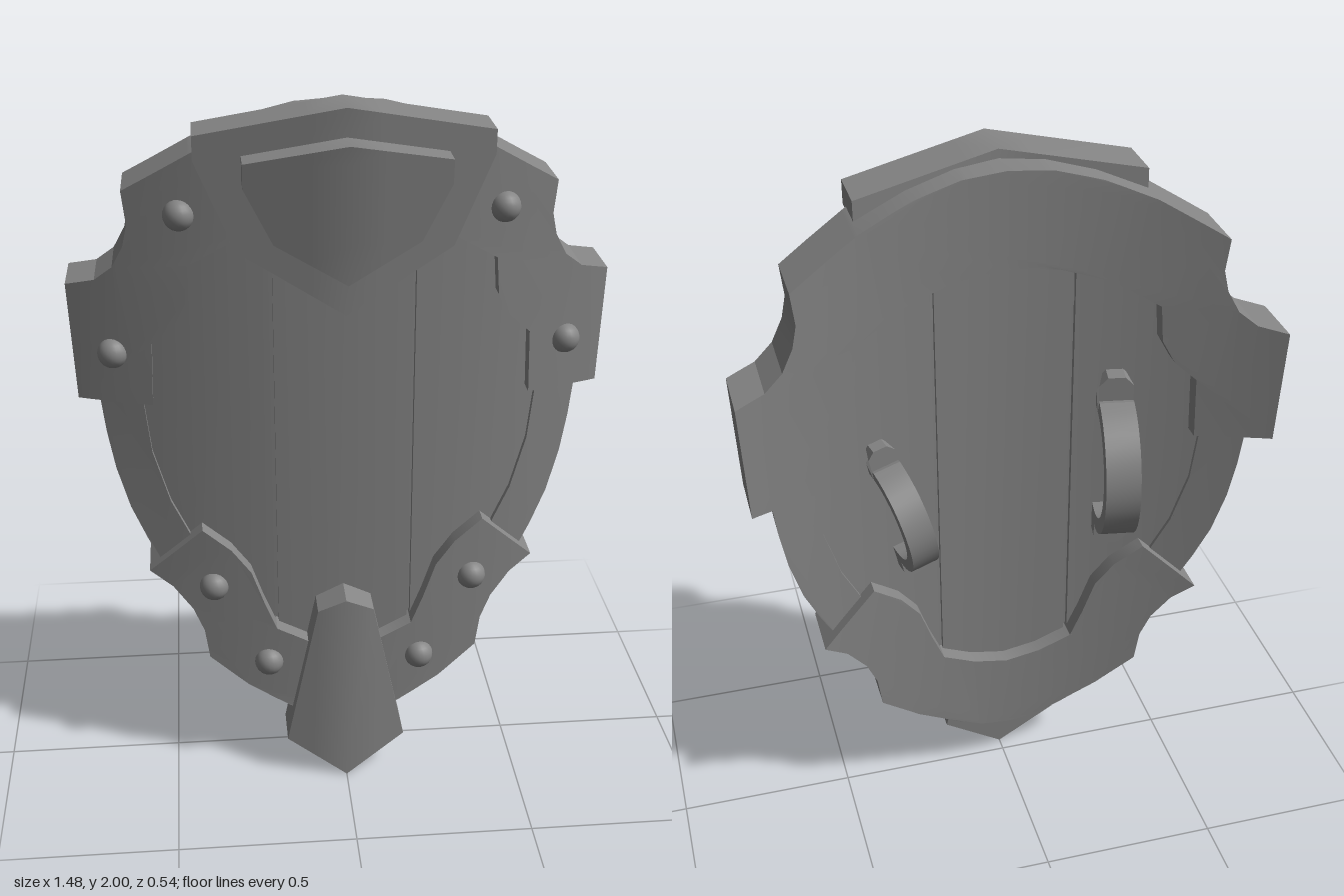
import * as THREE from 'three';
import { toCreasedNormals } from 'three/addons/utils/BufferGeometryUtils.js';

const material = new THREE.MeshStandardMaterial({ color: 0x858585 });
const STEP = 0.1; // width of the strips used for bending
const drop = (x) => 0.283 * x * x; // the shield curves back towards its sides

// Full symmetric outline from the points of its +x half
const mirrored = (half) => [
  ...half,
  ...half.filter(([x]) => x > 0).reverse().map(([x, y]) => [-x, y]),
];
const flipped = (points) => points.map(([x, y]) => [-x, y]).reverse();

// Keep the part of a polygon on one side of the plane x = at
function clip(poly, at, sign) {
  const out = [];
  poly.forEach((a, i) => {
    const b = poly[(i + 1) % poly.length];
    const da = (a.x - at) * sign, db = (b.x - at) * sign;
    if (da >= 0) out.push(a);
    if (da * db < 0) out.push(a.clone().lerp(b, da / (da - db)));
  });
  return out;
}

// Cut all triangles into vertical strips so that the plate can bend smoothly
function sliceInStrips(geometry) {
  const p = geometry.toNonIndexed().attributes.position;
  const positions = [];
  for (let i = 0; i < p.count; i += 3) {
    const tri = [0, 1, 2].map((k) => new THREE.Vector3().fromBufferAttribute(p, i + k));
    const xs = tri.map((v) => v.x);
    const first = Math.floor(Math.min(...xs) / STEP + 1e-6);
    const last = Math.max(first + 1, Math.ceil(Math.max(...xs) / STEP - 1e-6));
    for (let s = first; s < last; s++) {
      let poly = tri;
      if (s > first) poly = clip(poly, s * STEP, 1);
      if (s < last - 1) poly = clip(poly, (s + 1) * STEP, -1);
      for (let k = 1; k < poly.length - 1; k++)
        for (const v of [poly[0], poly[k], poly[k + 1]]) positions.push(v.x, v.y, v.z);
    }
  }
  const out = new THREE.BufferGeometry();
  out.setAttribute('position', new THREE.Float32BufferAttribute(positions, 3));
  return out;
}

// Extruded outline between two depths, bent by a rule z(x, y, z)
function plate(name, outline, back, front, bend = (x, y, z) => z - drop(x)) {
  const shape = new THREE.Shape(outline.map(([x, y]) => new THREE.Vector2(x, y)));
  const flat = new THREE.ExtrudeGeometry(shape, { depth: front - back, bevelEnabled: false });
  flat.translate(0, 0, back);
  const geometry = sliceInStrips(flat);
  const p = geometry.attributes.position;
  for (let i = 0; i < p.count; i++) p.setZ(i, bend(p.getX(i), p.getY(i), p.getZ(i)));
  const mesh = new THREE.Mesh(toCreasedNormals(geometry, 0.4), material);
  mesh.name = name;
  return mesh;
}

// Half-ring grip with two feet that narrow at their ends
function handle(name, x, y, size, tilt) {
  const pts = [[-0.03, 0.25], [-0.03, 0.275], [0.05, 0.275], [0.05, 0.25], [0.05, 0.204]];
  const arc = (r, from, to) => {
    for (let i = 0; i <= 16; i++) {
      const a = from + ((to - from) * i) / 16;
      pts.push([0.03 + r * Math.cos(a), r * Math.sin(a)]);
    }
  };
  arc(0.21, 1.4, -1.4);
  pts.push([0.05, -0.204], [0.05, -0.25], [0.05, -0.275], [-0.03, -0.275], [-0.03, -0.25], [-0.03, -0.165]);
  arc(0.165, -1.5, 1.5);
  pts.push([-0.03, 0.165]);
  const shape = new THREE.Shape(pts.map(([u, v]) => new THREE.Vector2(u, v)));
  const g = new THREE.ExtrudeGeometry(shape, { depth: 0.096, bevelEnabled: false });
  g.translate(0, 0, -0.048).rotateY(Math.PI / 2);
  const p = g.attributes.position;
  for (let i = 0; i < p.count; i++) if (Math.abs(p.getY(i)) > 0.26) p.setX(i, p.getX(i) * 0.5);
  const mesh = new THREE.Mesh(toCreasedNormals(g.scale(size, size, size), 0.4), material);
  mesh.name = name;
  mesh.position.set(x, y, -drop(x));
  mesh.rotation.set(0, 0.57 * x, tilt);
  return mesh;
}

export function createModel() {
  const group = new THREE.Group();
  group.name = 'shield';

  // Wooden planks with narrow grooves, closed by a thin core sheet
  const sidePlank = [
    [0.198, 1.8], [0.4, 1.7], [0.58, 1.4], [0.58, 1.16], [0.56, 1.0],
    [0.51, 0.85], [0.45, 0.73], [0.3, 0.5], [0.198, 0.38],
  ];
  group.add(plate('middlePlank', mirrored([[0.188, 1.8], [0.188, 0.35]]), 0, 0.075));
  group.add(plate('leftPlank', sidePlank, 0, 0.075));
  group.add(plate('rightPlank', flipped(sidePlank), 0, 0.075));
  group.add(plate('plankCore', mirrored([[0.21, 1.78], [0.21, 0.4]]), 0.015, 0.055));

  // Thin rim along both sides
  const rim = [
    [0.67, 1.22], [0.668, 1.16], [0.655, 1.05], [0.635, 0.94], [0.6, 0.82], [0.555, 0.72],
    [0.48, 0.58], [0.35, 0.6], [0.43, 0.74], [0.485, 0.85], [0.53, 1.0], [0.548, 1.16], [0.548, 1.22],
  ];
  group.add(plate('leftRim', rim, -0.01, 0.092));
  group.add(plate('rightRim', flipped(rim), -0.01, 0.092));

  // Heavy upper and lower frames
  group.add(plate('upperFrame', mirrored([
    [0, 1.975], [0.12, 1.965], [0.25, 1.93], [0.39, 1.87], [0.575, 1.76], [0.565, 1.67],
    [0.578, 1.61], [0.61, 1.55], [0.66, 1.51], [0.74, 1.49], [0.725, 1.16], [0.52, 1.16],
    [0.515, 1.34], [0.455, 1.395], [0.42, 1.46], [0.412, 1.565], [0.28, 1.645], [0.14, 1.69], [0, 1.705],
  ]), -0.045, 0.125));
  group.add(plate('lowerFrame', mirrored([
    [0, 0.4], [0.1, 0.42], [0.195, 0.465], [0.23, 0.55], [0.265, 0.65], [0.32, 0.72], [0.4, 0.78],
    [0.555, 0.635], [0.49, 0.59], [0.435, 0.52], [0.405, 0.45], [0.392, 0.36],
    [0.28, 0.27], [0.16, 0.2], [0.08, 0.165], [0, 0.155],
  ]), -0.045, 0.125));

  // Crest plate and raised inner plate, folded along the middle and leaning slightly
  group.add(plate('crestPlate', mirrored([
    [0, 2], [0.387, 1.925], [0.387, 1.86], [0.285, 1.62], [0, 1.445],
  ]), 0.04, 0.18, (x, y, z) => z - 0.12 * Math.abs(x) - 0.036 * (2 - y)));
  group.add(plate('crestBoss', mirrored([
    [0, 1.925], [0.265, 1.875], [0.265, 1.81], [0.19, 1.66], [0, 1.55],
  ]), 0.12, 0.265, (x, y, z) => z - 0.14 * Math.abs(x) - 0.11 * (1.925 - y)));

  // Spike at the bottom, its front folded along the middle
  group.add(plate('bottomSpike', mirrored([
    [0, 0.585], [0.08, 0.545], [0.172, 0.11], [0, 0],
  ]), 0.04, 0.2, (x, y, z) => z - (z > 0.1 ? 0.2 * Math.abs(x) : 0) - 0.04 * y));

  // Domed rivets
  const dome = new THREE.SphereGeometry(0.042, 20, 12);
  for (const [x, y] of [[0.428, 1.703], [0.622, 1.303], [0.372, 0.6], [0.22, 0.353]])
    for (const side of [1, -1]) {
      const rivet = new THREE.Mesh(dome, material);
      rivet.name = 'rivet';
      rivet.position.set(side * x, y, 0.12 - drop(x));
      group.add(rivet);
    }

  // Grips on the back
  group.add(handle('rightHandle', -0.31, 1.08, 1, 0));
  group.add(handle('leftHandle', 0.32, 1.02, 0.82, -0.22));
  return group;
}
